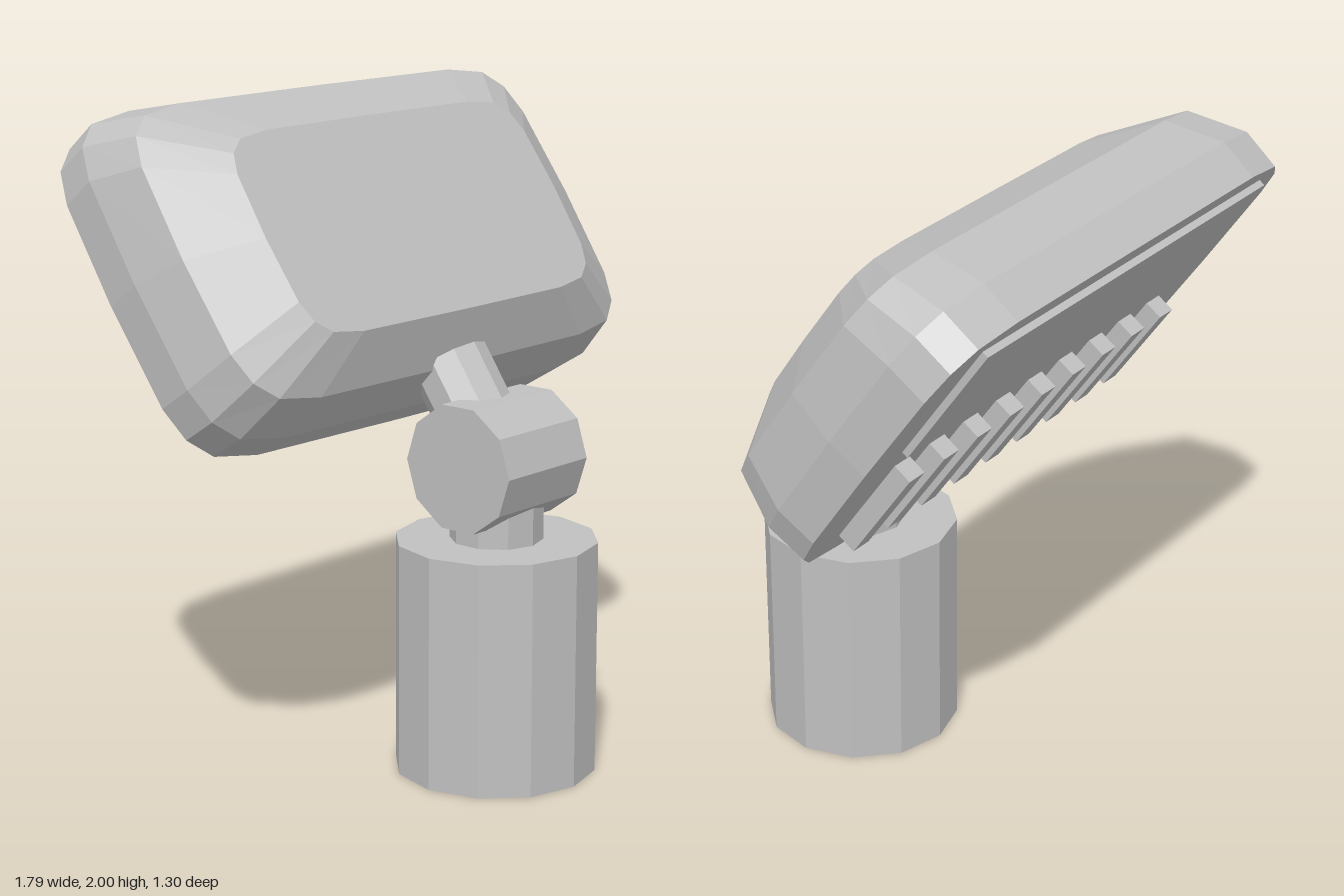
import * as THREE from 'three';

export function createModel() {
  const model = new THREE.Group();
  model.name = 'floodlight';
  const grey = new THREE.MeshStandardMaterial({ color: 0xc0c0c0, flatShading: true });
  grey.name = 'light grey';

  function add(parent, name, geometry, x = 0, y = 0, z = 0) {
    const mesh = new THREE.Mesh(geometry, grey);
    mesh.name = name;
    mesh.position.set(x, y, z);
    parent.add(mesh);
    return mesh;
  }

  const pivotY = 0.952, pivotZ = 0.35;

  // Post and short neck
  add(model, 'base', new THREE.CylinderGeometry(0.305, 0.305, 0.71, 12), 0, 0.355, pivotZ);
  add(model, 'neck', new THREE.CylinderGeometry(0.14, 0.14, 0.2, 10), 0, 0.79, pivotZ);

  // Hinge drum lying along x, a corner facing the front
  const drum = new THREE.CylinderGeometry(0.195, 0.195, 0.36, 10).rotateZ(Math.PI / 2);
  add(model, 'hingeDrum', drum, 0, pivotY, pivotZ);

  // Tilted assembly, turning about the hinge
  const tilted = new THREE.Group();
  tilted.name = 'tiltedHead';
  tilted.position.set(0, pivotY, pivotZ);
  tilted.rotation.x = THREE.MathUtils.degToRad(-35);
  model.add(tilted);

  add(tilted, 'arm', new THREE.CylinderGeometry(0.12, 0.12, 0.33, 10), 0, 0.165, 0);
  add(tilted, 'housing', housingGeometry());
  add(tilted, 'rearPanel', new THREE.BoxGeometry(1.44, 0.456, 0.04), 0, 1.038, -0.285);

  // Row of cooling fins
  for (let i = -4; i <= 4; i++) {
    add(tilted, 'coolingFin', new THREE.BoxGeometry(0.07, 0.345, 0.08), i * 0.163, 0.55, -0.305);
  }
  return model;
}

// Rounded-rectangle rings from back to front, closed by flat caps
function housingGeometry() {
  // Quarter outline as fractions of half width and half height
  const quarter = [[1, 0], [0.987, 0.62], [0.95, 0.82], [0.87, 0.945], [0.69, 0.995]];
  const outline = [
    ...quarter,
    [0, 1],
    ...quarter.slice(1).reverse().map(([x, y]) => [-x, y]),
    ...quarter.map(([x, y]) => [-x, -y]),
    [0, -1],
    ...quarter.slice(1).reverse().map(([x, y]) => [x, -y]),
  ];
  // Depth, centre height, half width, half height
  const sections = [
    [-0.284, 0.802, 0.885, 0.532],
    [-0.15, 0.802, 0.894, 0.54],
    [0.024, 0.782, 0.853, 0.481],
    [0.15, 0.755, 0.645, 0.33],
  ];
  const rings = sections.map(([z, cy, hw, hh]) => outline.map(([x, y]) => [x * hw, cy + y * hh, z]));
  const n = outline.length, last = rings.length - 1;
  const positions = [];
  const tri = (...corners) => corners.forEach((p) => positions.push(...p));
  const centre = (r) => [0, sections[r][1], sections[r][0]];
  for (let i = 0; i < n; i++) {
    const j = (i + 1) % n;
    for (let r = 0; r < last; r++) {
      const a = rings[r], b = rings[r + 1];
      tri(a[i], a[j], b[j]);
      tri(a[i], b[j], b[i]);
    }
    tri(centre(last), rings[last][i], rings[last][j]);
    tri(centre(0), rings[0][j], rings[0][i]);
  }
  const geometry = new THREE.BufferGeometry();
  geometry.setAttribute('position', new THREE.Float32BufferAttribute(positions, 3));
  geometry.computeVertexNormals();
  return geometry;
}
